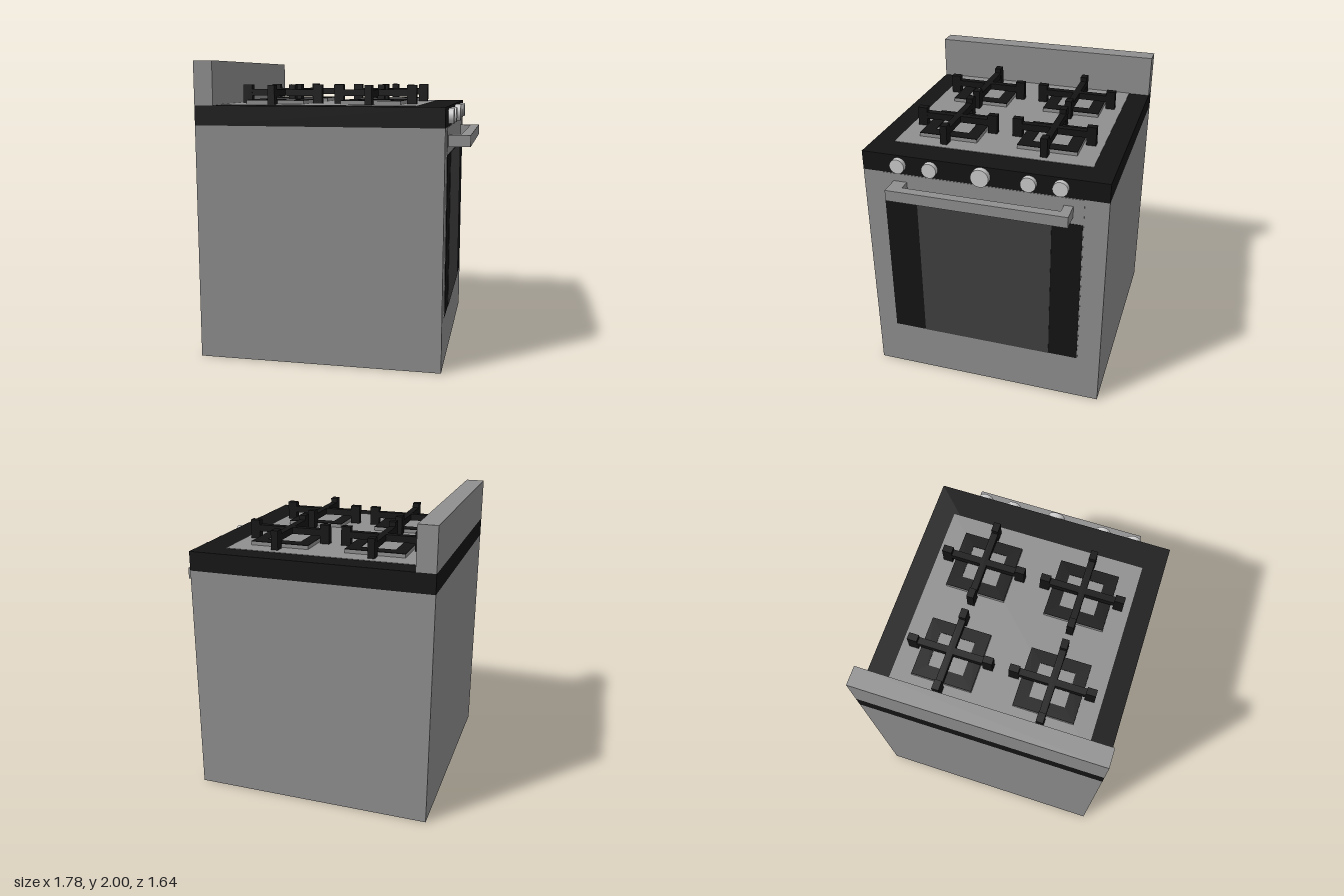
import * as THREE from 'three';

const mat = (color) => new THREE.MeshStandardMaterial({ color });

export function createModel() {
  const stove = new THREE.Group();
  stove.name = 'stove';
  const steel = mat(0x8f8f8f), black = mat(0x141414), glass = mat(0x404040), silver = mat(0xcccccc);

  // Box given by its limits on each axis
  const box = (name, material, [x0, x1], [y0, y1], [z0, z1], parent = stove) => {
    const mesh = new THREE.Mesh(new THREE.BoxGeometry(x1 - x0, y1 - y0, z1 - z0), material);
    mesh.position.set((x0 + x1) / 2, (y0 + y1) / 2, (z0 + z1) / 2);
    mesh.name = name;
    parent.add(mesh);
    return mesh;
  };

  // Cabinet, cooktop and backguard
  box('cabinet', steel, [-0.895, 0.745], [0, 1.58], [-0.82, 0.82]);
  box('cooktopFrame', black, [-0.895, 0.745], [1.58, 1.71], [-0.82, 0.82]);
  box('cooktopPlate', steel, [-0.77, 0.553], [1.69, 1.713], [-0.672, 0.676]);
  box('backguard', steel, [-0.895, -0.767], [1.71, 2], [-0.82, 0.82]);

  // Oven door, front face towards +x
  box('doorPanel', steel, [0.73, 0.748], [0.33, 1.578], [-0.665, 0.685]);
  box('doorGlass', black, [0.73, 0.751], [0.34, 1.4], [-0.66, 0.68]);
  box('doorWindow', glass, [0.73, 0.754], [0.34, 1.4], [-0.46, 0.452]);

  // Door handle
  const handle = new THREE.Group();
  handle.name = 'doorHandle';
  stove.add(handle);
  box('handleBar', steel, [0.826, 0.89], [1.45, 1.525], [-0.595, 0.607], handle);
  box('handleArm', steel, [0.745, 0.826], [1.45, 1.525], [-0.595, -0.535], handle);
  box('handleArm', steel, [0.745, 0.826], [1.45, 1.525], [0.515, 0.607], handle);

  // Control knobs, the middle one larger
  for (const [z, r, depth] of [[0.565, 0.05, 0.035], [0.345, 0.05, 0.035], [0.003, 0.06, 0.04],
    [-0.31, 0.05, 0.035], [-0.515, 0.05, 0.035]]) {
    const knob = new THREE.Mesh(new THREE.CylinderGeometry(r, r, depth, 32), silver);
    knob.rotation.z = -Math.PI / 2;
    knob.position.set(0.745 + depth / 2, 1.645, z);
    knob.name = 'knob';
    stove.add(knob);
  }

  // Black square ring that tops each burner
  const square = (path, h) => path.moveTo(-h, -h).lineTo(h, -h).lineTo(h, h).lineTo(-h, h).closePath();
  const ringShape = square(new THREE.Shape(), 0.202);
  ringShape.holes.push(square(new THREE.Path(), 0.118));
  const ringGeometry = new THREE.ExtrudeGeometry(ringShape, { depth: 0.004, bevelEnabled: false });
  ringGeometry.rotateX(-Math.PI / 2);

  // Burners with their crossed grates
  for (const x of [-0.432, 0.225]) for (const z of [-0.337, 0.343]) {
    const burner = new THREE.Group();
    burner.name = 'burner';
    burner.position.set(x, 0, z);
    stove.add(burner);
    box('burnerBase', steel, [-0.202, 0.202], [1.71, 1.736], [-0.202, 0.202], burner);
    const ring = new THREE.Mesh(ringGeometry, black);
    ring.position.y = 1.736;
    ring.name = 'burnerRing';
    burner.add(ring);

    for (const turn of [0, Math.PI / 2]) {
      const grate = new THREE.Group();
      grate.name = 'grate';
      grate.rotation.y = turn;
      burner.add(grate);
      box('grateBar', black, [-0.285, 0.285], [1.765, 1.81], [-0.023, 0.023], grate);
      for (const s of [-0.2525, 0.2525])
        box('gratePost', black, [s - 0.0325, s + 0.0325], [1.71, 1.842], [-0.0235, 0.0235], grate);
    }
  }
  return stove;
}
